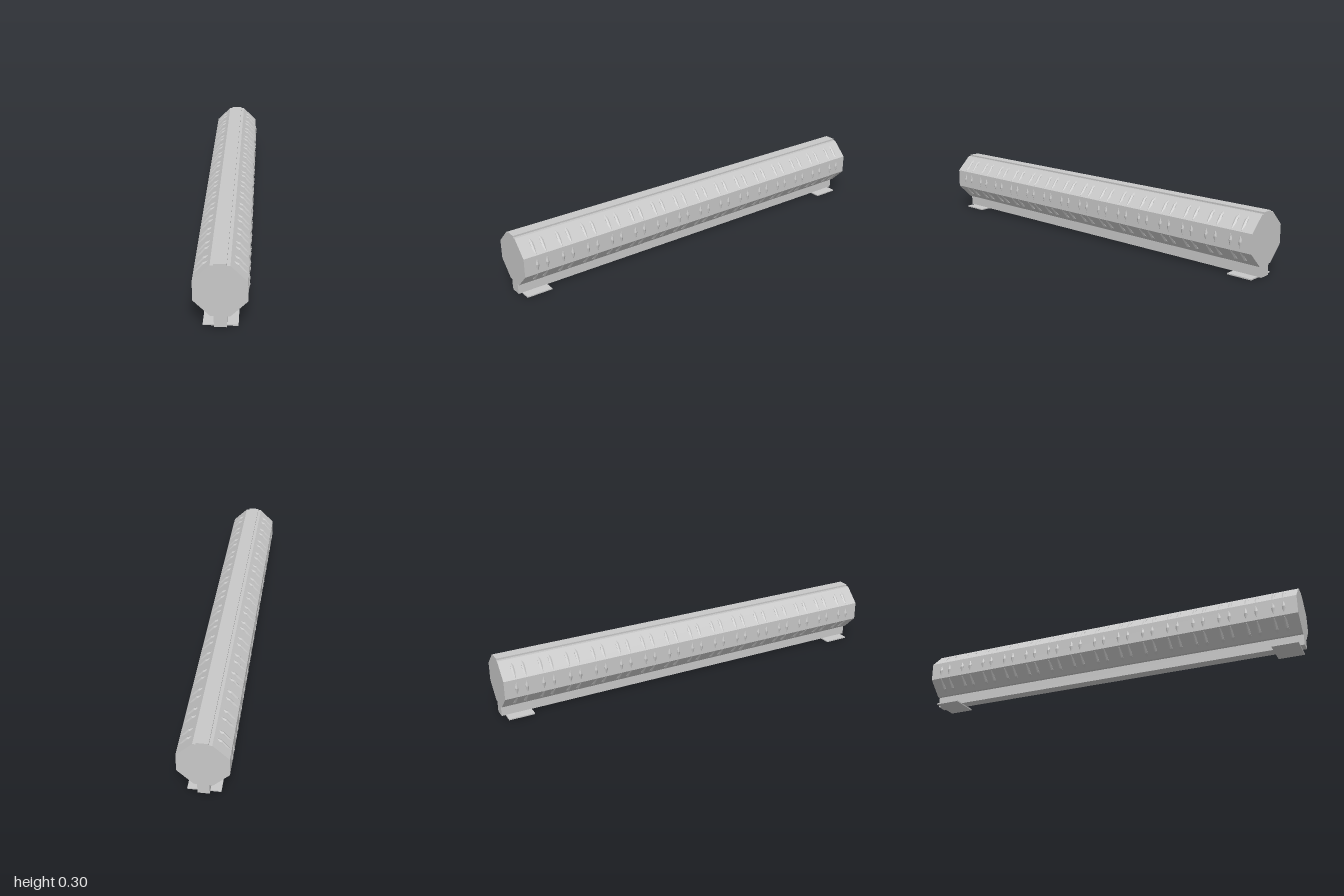
import * as THREE from 'three';

const AXIS_Y = 0.176; // height of the tube's axis

export function createModel() {
  const group = new THREE.Group();
  group.name = 'ribbedTube';
  const grey = new THREE.MeshStandardMaterial({ color: 0xc8c8c8, flatShading: true });
  grey.name = 'light grey';

  const add = (name, geometry, x, y, z) => {
    const mesh = new THREE.Mesh(geometry, grey);
    mesh.name = name;
    mesh.position.set(x, y, z);
    group.add(mesh);
    return mesh;
  };

  // Octagonal tube with top rail and bottom keel, one extruded outline
  const half = [
    [0.027, 0.005], [0.027, 0.058], [0.042, 0.058], [0.115, 0.131],
    [0.115, 0.222], [0.042, 0.294], [0.027, 0.294], [0.027, 0.302],
  ];
  const outline = [...half, ...half.map(([x, y]) => [-x, y]).reverse()];
  const shape = new THREE.Shape(outline.map(([x, y]) => new THREE.Vector2(x, y)));
  const body = new THREE.ExtrudeGeometry(shape, { depth: 2, bevelEnabled: false });
  add('tubeBody', body, 0, 0, -1);

  // Pairs of rings that break through the flat sides as ribs
  const ring = new THREE.TorusGeometry(0.113, 0.009, 6, 14);
  for (let i = 0; i < 15; i++) {
    for (const side of [-1, 1]) {
      add('ribRing', ring, 0, AXIS_Y, (i - 7) * 0.1305 - 0.003 + side * 0.025);
    }
  }

  // Foot plates under the keel near both ends
  const foot = new THREE.BoxGeometry(0.15, 0.006, 0.126);
  for (const side of [-1, 1]) add('footPlate', foot, 0, 0.003, side * 0.917);

  return group;
}
